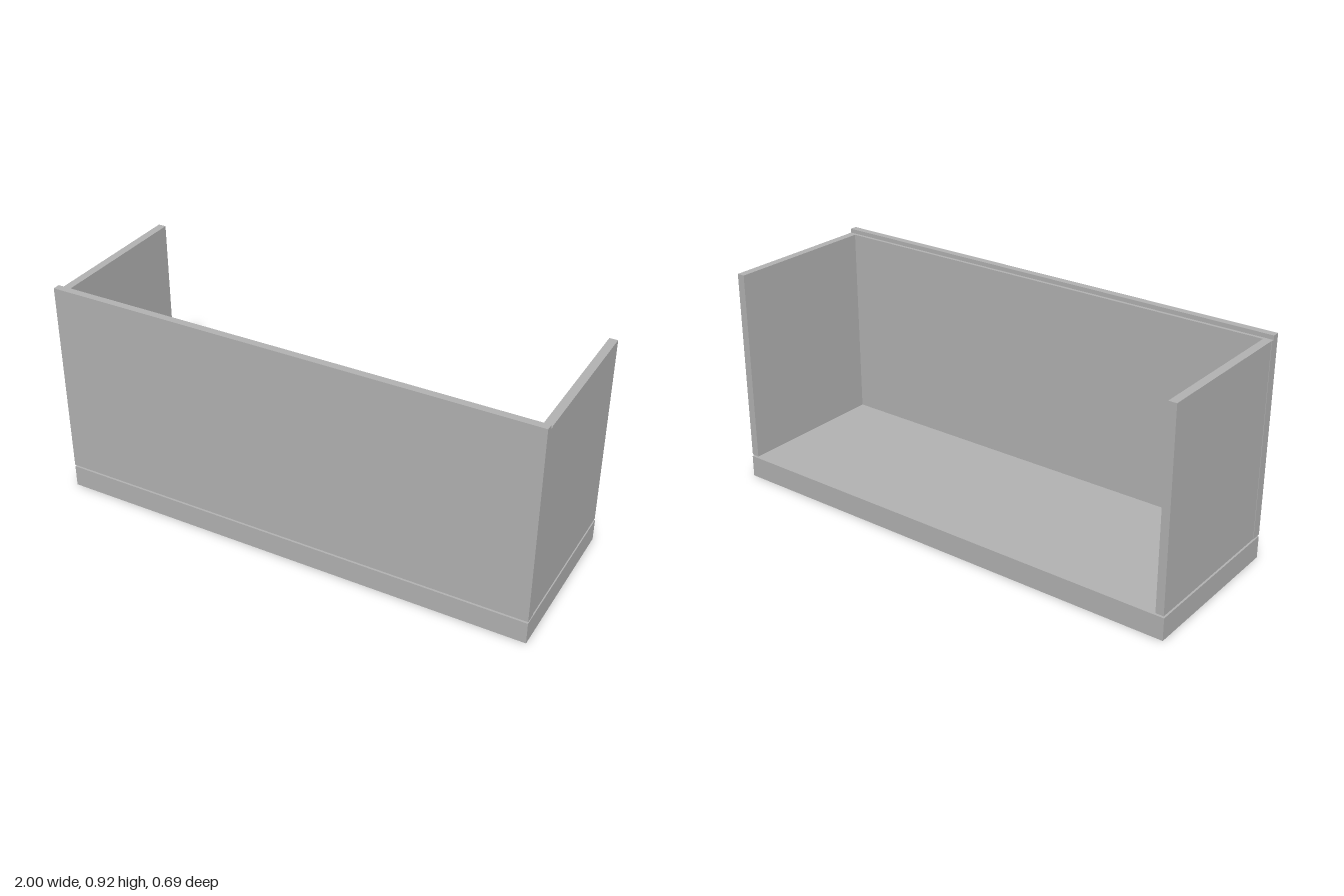
import * as THREE from 'three';

export function createModel() {
  const group = new THREE.Group();
  const gray = new THREE.MeshStandardMaterial({ color: 0xb2b2b2 });
  gray.name = 'plain gray';

  function add(name, geometry, x = 0, y = 0, z = 0) {
    const mesh = new THREE.Mesh(geometry, gray);
    mesh.name = name;
    mesh.position.set(x, y, z);
    group.add(mesh);
  }

  // Base slab, separated from the panels by a narrow gap
  add('base', new THREE.BoxGeometry(2, 0.092, 0.69), 0, 0.046, 0);

  // Front panel: stepped section (shape x = -z, y = height) extruded along x
  const section = new THREE.Shape([
    [-0.345, 0.1], [-0.302, 0.1], [-0.302, 0.9],
    [-0.315, 0.9], [-0.315, 0.917], [-0.345, 0.917],
  ].map(([a, b]) => new THREE.Vector2(a, b)));
  const front = new THREE.ExtrudeGeometry(section, { depth: 2, bevelEnabled: false });
  front.translate(0, 0, -1);
  front.rotateY(Math.PI / 2);
  add('frontPanel', front);

  // Side panels, set in slightly from the ends of the front panel
  for (const [name, side] of [['leftPanel', 1], ['rightPanel', -1]]) {
    add(name, new THREE.BoxGeometry(0.033, 0.8, 0.647), side * 0.9815, 0.5, -0.0215);
  }

  return group;
}
